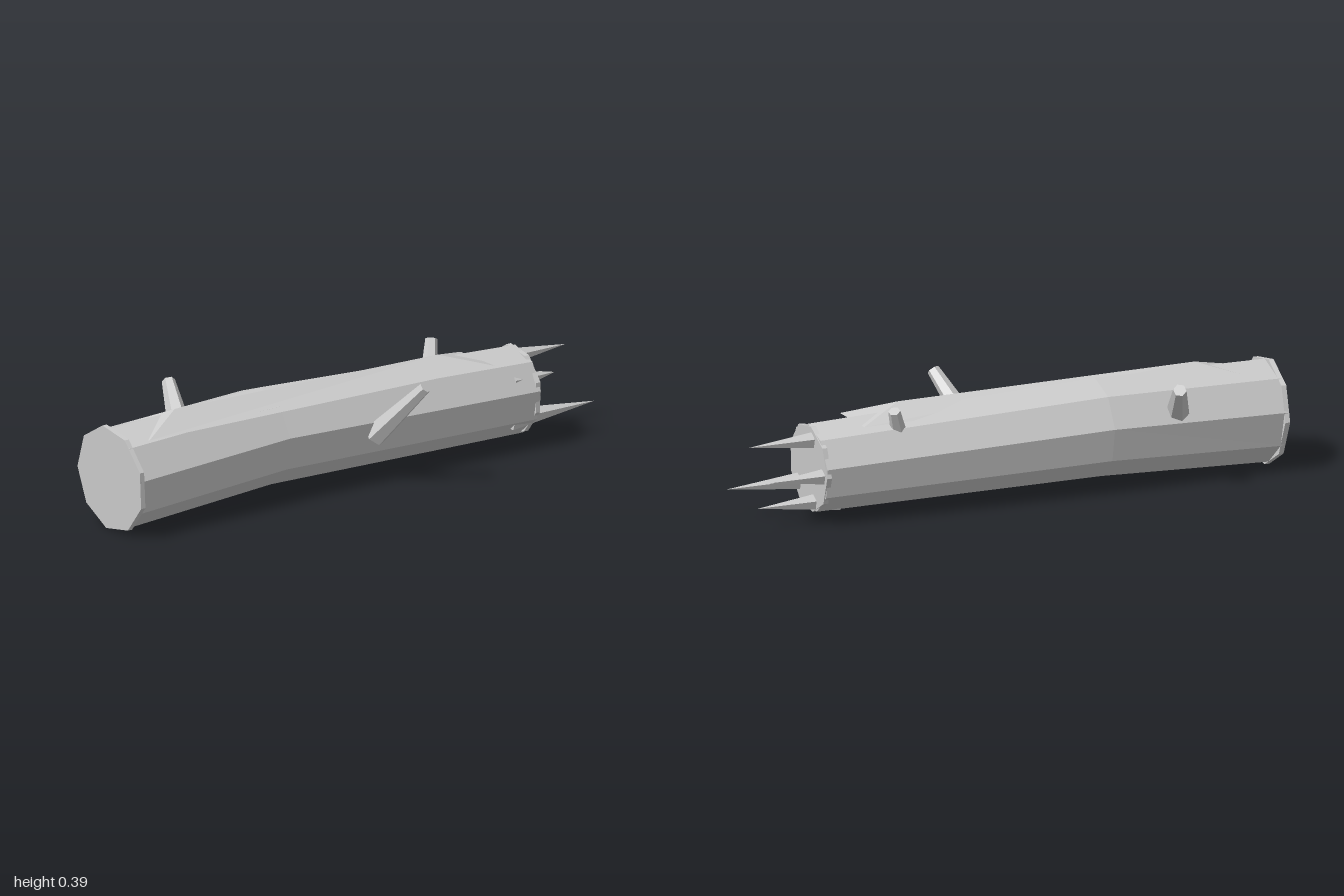
import * as THREE from 'three';

const V = (x, y, z) => new THREE.Vector3(x, y, z);

// Faceted geometry from points and faces (polygons, corners counter-clockwise from outside)
function faceted(points, faces) {
  const pos = [];
  for (const f of faces) {
    for (let i = 1; i < f.length - 1; i++) {
      for (const k of [f[0], f[i], f[i + 1]]) pos.push(...points[k].toArray());
    }
  }
  const geo = new THREE.BufferGeometry();
  geo.setAttribute('position', new THREE.Float32BufferAttribute(pos, 3));
  geo.computeVertexNormals();
  return geo;
}

function flat(geo) {
  const out = geo.toNonIndexed();
  out.computeVertexNormals();
  return out;
}

// Nine-sided tube through rings { x, y, z, r, lean, turn } along x, closed at both ends
function log(rings) {
  const n = 9, points = [], faces = [];
  for (const { x, y, z, r, lean, turn = 0 } of rings) {
    for (let i = 0; i < n; i++) {
      const a = (i / n) * Math.PI * 2 + turn;
      const dy = Math.cos(a) * r;
      points.push(V(x - lean * dy, y + dy, z + Math.sin(a) * r));
    }
  }
  for (let s = 0; s < rings.length - 1; s++) {
    for (let i = 0; i < n; i++) {
      const j = (i + 1) % n, a = s * n, b = a + n;
      faces.push([a + i, a + j, b + j, b + i]);
    }
  }
  const last = (rings.length - 1) * n;
  const loop = [...Array(n).keys()];
  faces.push([...loop].reverse(), loop.map(i => last + i));
  return faceted(points, faces);
}

export function createModel() {
  const model = new THREE.Group();
  model.name = 'fallenLog';
  const wood = new THREE.MeshStandardMaterial({ color: 0xcccccc });
  wood.name = 'paleGreyWood';

  const add = (name, geo) => {
    const mesh = new THREE.Mesh(geo, wood);
    mesh.name = name;
    model.add(mesh);
    return mesh;
  };

  // Slightly bent trunk
  const left = { x: -0.99, y: 0.188, z: 0, r: 0.179, lean: 0.04 };
  const middle = { x: -0.33, y: 0.212, z: -0.036, r: 0.171, lean: 0.005 };
  const right = { x: 0.73, y: 0.186, z: -0.022, r: 0.154, lean: -0.03 };
  add('trunk', log([left, middle, right]));

  // Thin end grain discs, turned against the trunk facets
  add('leftEndGrain', log([
    { ...left, x: -0.993, r: 0.187, turn: 0.52 },
    { ...left, x: -0.975, r: 0.187, turn: 0.52 },
  ]));
  add('rightEndGrain', log([
    { ...right, x: 0.715, turn: 0.5 },
    { ...right, x: 0.733, turn: 0.5 },
  ]));

  // Ridge of bark along the top, with sloping ends
  add('barkRidge', faceted(
    [
      V(-0.9, 0.333, 0.1), V(0.56, 0.327, 0.1), V(0.56, 0.327, -0.1), V(-0.9, 0.333, -0.1),
      V(-0.72, 0.387, 0), V(0.39, 0.374, 0),
    ],
    [[0, 1, 5, 4], [2, 3, 4, 5], [1, 2, 5], [3, 0, 4], [3, 2, 1, 0]],
  ));

  // Splinters at the broken end: [tip x, y, z]
  const splinterBase = 0.64;
  const splinters = [
    [0.97, 0.29, -0.055], [0.83, 0.249, 0.073], [0.935, 0.18, -0.134],
    [1.0, 0.114, 0.071], [0.94, 0.071, -0.055],
  ];
  for (const [tip, y, z] of splinters) {
    const length = tip - splinterBase;
    const cone = new THREE.ConeGeometry(0.04, length, 5, 1, false, -Math.PI / 2);
    cone.rotateZ(-Math.PI / 2);
    add('splinter', flat(cone)).position.set(splinterBase + length / 2, y, z);
  }

  // Tapered branch stubs
  const branch = (name, from, to, r0, r1) => {
    const axis = to.clone().sub(from);
    const mesh = add(name, flat(new THREE.CylinderGeometry(r1, r0, axis.length(), 6)));
    mesh.position.copy(from).addScaledVector(axis, 0.5);
    mesh.quaternion.setFromUnitVectors(V(0, 1, 0), axis.normalize());
  };
  branch('frontBranch', V(0.043, 0.18, 0.11), V(0.124, 0.382, 0.293), 0.043, 0.022);
  branch('backBranch', V(-0.6, 0.23, -0.12), V(-0.533, 0.38, -0.291), 0.045, 0.023);
  branch('smallBranch', V(0.415, 0.25, -0.085), V(0.465, 0.382, -0.138), 0.032, 0.021);

  return model;
}
